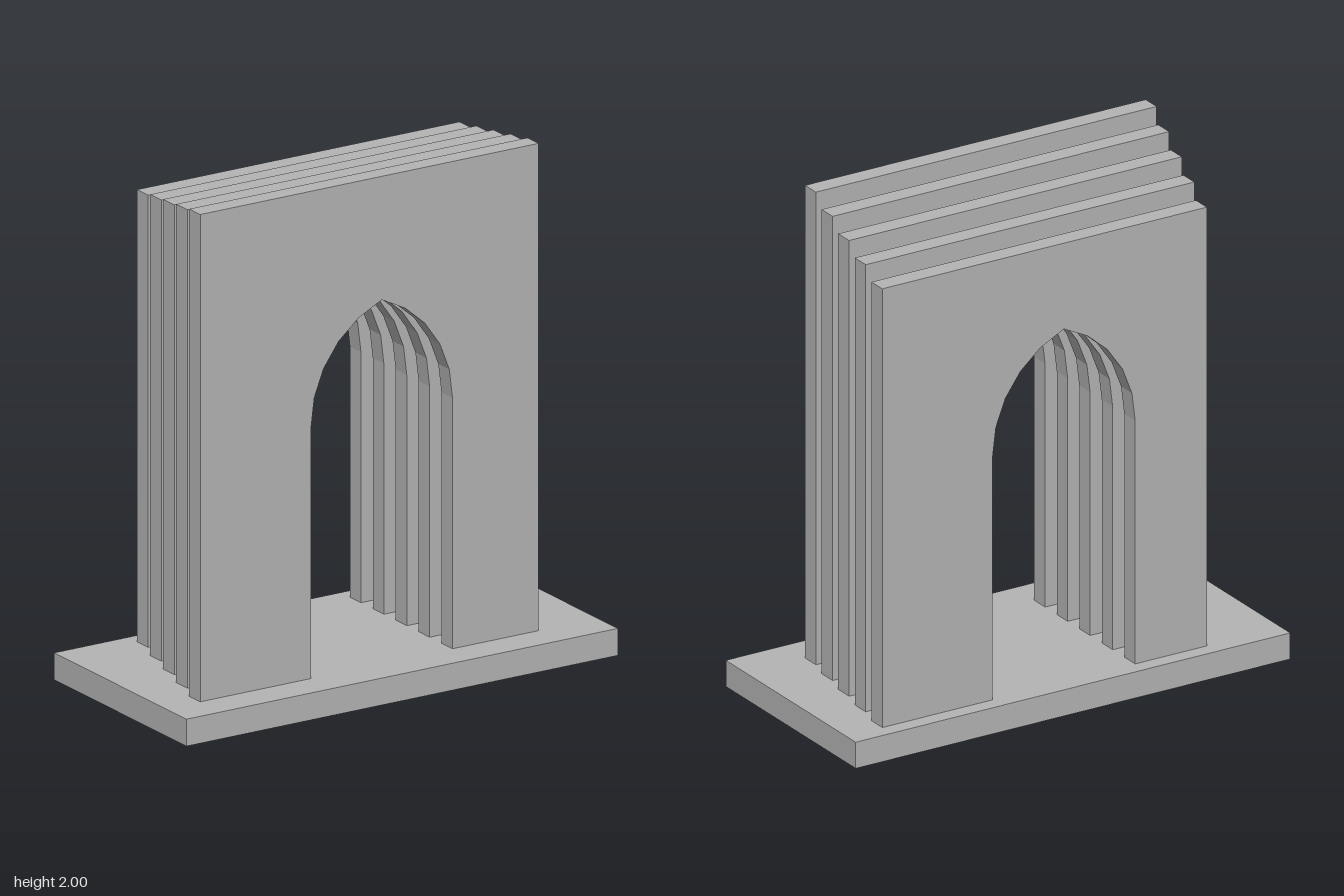
import * as THREE from 'three';

const BASE_TOP = 0.105;

// Slab outline with a pointed arch cut up from its foot
function slabShape(left, right, top) {
  const half = 0.31, spring = 1.08, centre = 0.157, radius = half + centre, steps = 5;
  const sweep = Math.acos(centre / radius);
  const arc = [];
  for (let i = 0; i <= steps; i++) {
    const a = (i / steps) * sweep;
    arc.push([radius * Math.cos(a) - centre, spring + radius * Math.sin(a)]);
  }
  const shape = new THREE.Shape();
  shape.moveTo(left, BASE_TOP);
  shape.lineTo(-half, BASE_TOP);
  arc.forEach(([x, y]) => shape.lineTo(-x, y));
  arc.slice(0, -1).reverse().forEach(([x, y]) => shape.lineTo(x, y));
  shape.lineTo(half, BASE_TOP);
  shape.lineTo(right, BASE_TOP);
  shape.lineTo(right, top);
  shape.lineTo(left, top);
  shape.closePath();
  return shape;
}

export function createModel() {
  const group = new THREE.Group();
  group.name = 'layeredArch';
  const stone = new THREE.MeshStandardMaterial({ color: 0xb4b4b4 });
  stone.name = 'grey stone';

  // Plinth
  const base = new THREE.Mesh(new THREE.BoxGeometry(1.89, BASE_TOP, 0.895), stone);
  base.name = 'base';
  base.position.y = BASE_TOP / 2;
  group.add(base);

  // Five arched slabs, each lower and shifted sideways toward the back
  for (let i = 0; i < 5; i++) {
    const shape = slabShape(-0.795 + i * 0.0433, 0.687 + i * 0.0257, 2 - i * 0.034);
    const geometry = new THREE.ExtrudeGeometry(shape, { depth: 0.075, bevelEnabled: false });
    const slab = new THREE.Mesh(geometry, stone);
    slab.name = `archSlab${i + 1}`;
    slab.position.z = 0.235 - i * 0.155;
    group.add(slab);
  }
  return group;
}
